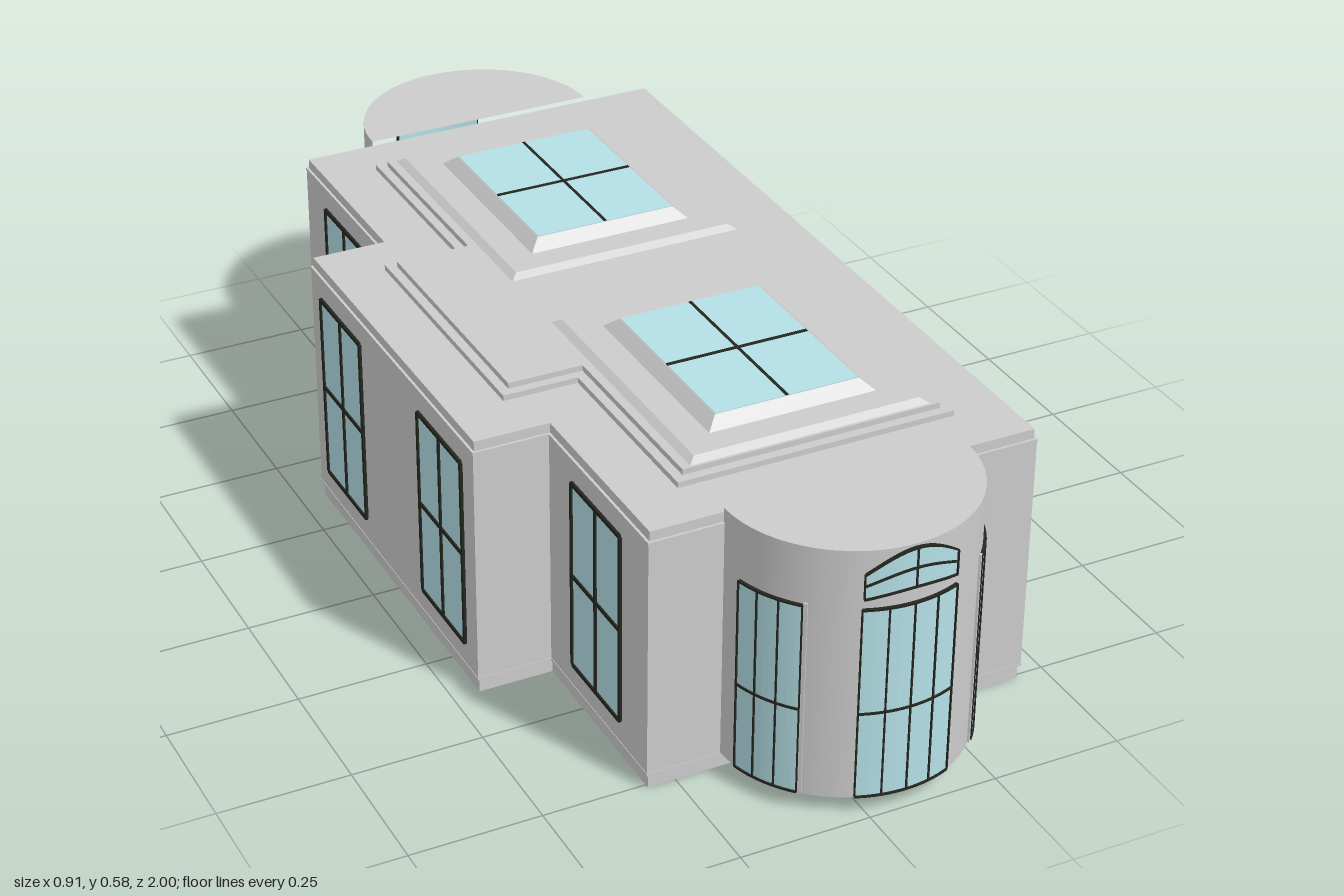
import * as THREE from 'three';

const grey = new THREE.MeshStandardMaterial({ color: 0xcccccc, flatShading: true });
const smoothGrey = new THREE.MeshStandardMaterial({ color: 0xcccccc });
const glass = new THREE.MeshStandardMaterial({ color: 0xb4e0e6 });
const bar = new THREE.MeshStandardMaterial({ color: 0x25261f });
const doorBrown = new THREE.MeshStandardMaterial({ color: 0x3d2914 });

function add(parent, name, geometry, material) {
  const mesh = new THREE.Mesh(geometry, material);
  mesh.name = name;
  parent.add(mesh);
  return mesh;
}

// Box given by its minimum and maximum corners
function box(parent, name, [x0, y0, z0], [x1, y1, z1], material) {
  const g = new THREE.BoxGeometry(x1 - x0, y1 - y0, z1 - z0);
  g.translate((x0 + x1) / 2, (y0 + y1) / 2, (z0 + z1) / 2);
  return add(parent, name, g, material);
}

// Slab over a plan outline (x, z) between two heights
function slab(parent, name, points, y0, y1) {
  const shape = new THREE.Shape(points.map(([x, z]) => new THREE.Vector2(x, z)));
  const g = new THREE.ExtrudeGeometry(shape, { depth: y1 - y0, bevelEnabled: false });
  g.rotateX(Math.PI / 2).translate(0, y1, 0);
  return add(parent, name, g, grey);
}

// Plan of the main block with the side wing towards -x
const plan = (right, left, wing, zEnd, zWing) => [
  [right, -zEnd], [right, zEnd], [left, zEnd], [left, zWing],
  [wing, zWing], [wing, -zWing], [left, -zWing], [left, -zEnd],
];

const insetPlan = (d) => plan(0.447 - d, -0.307 + d, -0.452 + d, 0.762 - d, 0.375 - d);

// Box with sloping sides: the top is inset by d
function frustum(parent, name, x0, x1, z0, z1, y0, y1, d) {
  const g = new THREE.BoxGeometry(1, 1, 1);
  const p = g.attributes.position;
  for (let i = 0; i < p.count; i++) {
    const top = p.getY(i) > 0;
    const e = top ? d : 0;
    p.setXYZ(i, p.getX(i) > 0 ? x1 - e : x0 + e, top ? y1 : y0, p.getZ(i) > 0 ? z1 - e : z0 + e);
  }
  g.computeVertexNormals();
  return add(parent, name, g, grey);
}

// Curved block on a cylinder, with lower and upper edges given by functions of t in 0..1
function curved(parent, name, r0, r1, a0, a1, low, high, material) {
  const steps = Math.max(1, Math.ceil(Math.abs(a1 - a0) / 0.05));
  const pos = [], index = [];
  for (let i = 0; i <= steps; i++) {
    const t = i / steps, a = a0 + (a1 - a0) * t, s = Math.sin(a), c = Math.cos(a);
    for (const [r, y] of [[r0, low(t)], [r0, high(t)], [r1, high(t)], [r1, low(t)]]) pos.push(s * r, y, c * r);
  }
  for (let i = 0; i < steps; i++) {
    for (let k = 0; k < 4; k++) {
      const a = i * 4 + k, b = i * 4 + (k + 1) % 4;
      index.push(a, a + 4, b, b, a + 4, b + 4);
    }
  }
  const e = steps * 4;
  index.push(0, 1, 2, 0, 2, 3, e, e + 2, e + 1, e, e + 3, e + 2);
  let g = new THREE.BufferGeometry();
  g.setAttribute('position', new THREE.Float32BufferAttribute(pos, 3));
  g.setIndex(index);
  // orient the faces outwards
  for (let i = 0; i < index.length; i += 3) [index[i + 1], index[i + 2]] = [index[i + 2], index[i + 1]];
  g.setIndex(index);
  g = g.toNonIndexed();
  g.computeVertexNormals();
  const m = material.clone();
  m.side = THREE.DoubleSide;
  return add(parent, name, g, m);
}

const R = 0.235;

// Curved window: glass, upright bars at the column edges and curved cross bars
function bowWindow(parent, name, a0, a1, columns, levels) {
  const group = new THREE.Group();
  group.name = name;
  parent.add(group);
  const low = levels[0], high = levels[levels.length - 1], w = 0.006;
  curved(group, 'curvedGlass', R - 0.003, R + 0.003, a0, a1, low, high, glass);
  for (let i = 0; i <= columns; i++) {
    const t = i / columns, a = a0 + (a1 - a0) * t;
    curved(group, 'uprightBar', R, R + 0.006, a - w, a + w, () => low(t), () => high(t), bar);
  }
  for (const y of levels) {
    curved(group, 'crossBar', R, R + 0.006, a0, a1, (t) => y(t) - 0.002, (t) => y(t) + 0.002, bar);
  }
}

// Half-round bay with three tall windows and an arched light above the middle one
function bay(name) {
  const group = new THREE.Group();
  group.name = name;
  const wall = new THREE.CylinderGeometry(R, R, 0.502, 48, 1, false, -Math.PI / 2, Math.PI);
  wall.translate(0, 0.284, 0);
  add(group, 'bayWall', wall, smoothGrey);
  const flat = (y) => () => y;
  const tall = [0.037, 0.21, 0.42].map(flat);
  bowWindow(group, 'middleWindow', -0.39, 0.39, 4, tall);
  for (const s of [-1, 1]) {
    bowWindow(group, 'sideWindow', s < 0 ? -1.35 : 0.81, s < 0 ? -0.81 : 1.35, 3, tall);
    const a = s * 0.79;
    curved(group, 'windowJamb', R, R + 0.004, a - 0.015, a + 0.015, flat(0.035), flat(0.425), grey);
  }
  const arch = (end, rise) => (t) => end + rise * Math.sin(Math.PI * t);
  bowWindow(group, 'archedLight', -0.38, 0.38, 2, [arch(0.441, 0.011), arch(0.467, 0.023), arch(0.489, 0.04)]);
  return group;
}

// Flat window on a wall facing -x
function sideWindow(parent, x, z) {
  const group = new THREE.Group();
  group.name = 'wingSideWindow';
  group.position.set(x, 0.27, z);
  parent.add(group);
  const w = 0.095, h = 0.19, b = 0.004;
  box(group, 'glass', [-0.002, -h, -w], [0.004, h, w], glass);
  for (const k of [-1, 0, 1]) {
    box(group, 'uprightBar', [-0.005, -h, k * w - b], [0.003, h, k * w + b], bar);
    box(group, 'crossBar', [-0.005, k * h - b, -w], [0.003, k * h + b, w], bar);
  }
}

export function createModel() {
  const model = new THREE.Group();
  model.name = 'pavilion';

  // Plinth, walls, ledges and cornice
  slab(model, 'plinth', insetPlan(0.004), 0, 0.028);
  slab(model, 'lowerLedge', insetPlan(-0.001), 0.028, 0.033);
  slab(model, 'walls', insetPlan(0), 0.033, 0.502);
  slab(model, 'upperLedge', insetPlan(-0.001), 0.502, 0.507);
  slab(model, 'cornice', insetPlan(0.004), 0.507, 0.526);

  // Stepped roof
  slab(model, 'lowerRoofStep', plan(0.34, -0.2, -0.345, 0.658, 0.268), 0.526, 0.537);
  slab(model, 'upperRoofStep', plan(0.322, -0.182, -0.327, 0.64, 0.25), 0.537, 0.548);

  // Two skylights on low raised bases
  for (const s of [-1, 1]) {
    const sky = new THREE.Group();
    sky.name = 'skylight';
    sky.position.set(0.07, 0, s * 0.36);
    model.add(sky);
    frustum(sky, 'skylightBase', -0.235, 0.235, -0.275, 0.275, 0.548, 0.557, 0.014);
    frustum(sky, 'skylightCurb', -0.164, 0.164, -0.208, 0.208, 0.557, 0.577, 0.022);
    box(sky, 'skylightGlass', [-0.14, 0.57, -0.185], [0.14, 0.578, 0.185], glass);
    box(sky, 'skylightBar', [-0.003, 0.572, -0.185], [0.003, 0.579, 0.185], bar);
    box(sky, 'skylightCrossBar', [-0.14, 0.572, -0.004], [0.14, 0.579, 0.004], bar);
  }

  // Bays at the front and the back
  for (const s of [1, -1]) {
    const b = bay(s > 0 ? 'frontBay' : 'backBay');
    b.position.set(0.07, 0, s * 0.759);
    if (s < 0) b.rotation.y = Math.PI;
    model.add(b);
  }

  // Windows on the wing side and the door opposite
  for (const s of [-1, 1]) {
    sideWindow(model, -0.307, s * 0.565);
    sideWindow(model, -0.452, s * 0.23);
  }
  box(model, 'door', [0.43, 0, -0.082], [0.45, 0.29, 0.082], doorBrown);

  return model;
}
